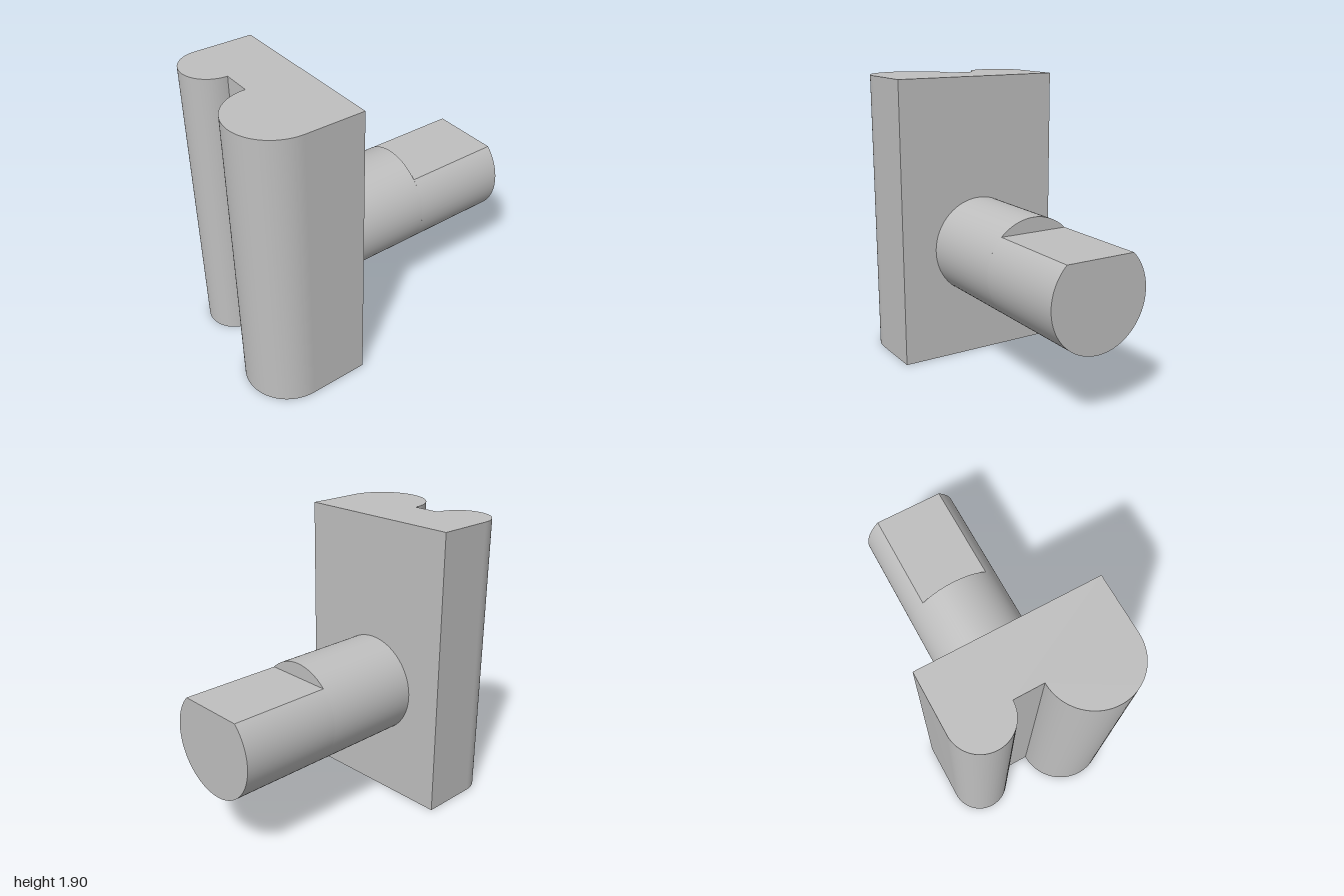
import * as THREE from 'three';
import { toCreasedNormals } from 'three/addons/utils/BufferGeometryUtils.js';

const HEIGHT = 1.905;
const BACK = -0.714; // x of the notch floor and lobe centres
const FACE = -0.335; // x of the flat face carrying the shaft
const HALF = 0.572; // half width in z
const RADIUS = 0.333, AXIS_Y = 0.762, FLAT = 0.238, STEP = 0.333;

function extrude(shape, depth) {
  const geometry = new THREE.ExtrudeGeometry(shape, { depth, bevelEnabled: false, curveSegments: 48 });
  return toCreasedNormals(geometry, 0.4);
}

export function createModel() {
  const model = new THREE.Group();
  const steel = new THREE.MeshStandardMaterial({ color: 0xbfbfbf });
  steel.name = 'plain grey';

  const add = (name, geometry) => {
    const mesh = new THREE.Mesh(geometry, steel);
    mesh.name = name;
    model.add(mesh);
  };

  // Upright block: flat face, with a small and a large round lobe either side of a notch
  const plan = new THREE.Shape();
  plan.moveTo(FACE, -HALF);
  plan.lineTo(FACE, HALF);
  plan.lineTo(BACK, HALF);
  plan.absarc(BACK, 0.381, 0.191, Math.PI / 2, Math.PI * 1.5, false);
  plan.lineTo(BACK, 0);
  plan.absarc(BACK, -0.286, 0.286, Math.PI / 2, Math.PI * 1.5, false);
  plan.closePath();
  add('block', extrude(plan, HEIGHT).rotateX(-Math.PI / 2));

  // Round part of the shaft
  const disc = new THREE.Shape();
  disc.absarc(0, 0, RADIUS, 0, Math.PI * 2, false);
  add('roundShaft', extrude(disc, STEP - FACE).rotateY(Math.PI / 2).translate(FACE, AXIS_Y, 0));

  // Shaft end with a flat cut along its top
  const a = Math.asin(FLAT / RADIUS);
  const cut = new THREE.Shape();
  cut.absarc(0, 0, RADIUS, Math.PI - a, Math.PI * 2 + a, false);
  cut.closePath();
  add('flattenedShaftEnd', extrude(cut, 1 - STEP).rotateY(Math.PI / 2).translate(STEP, AXIS_Y, 0));

  return model;
}
